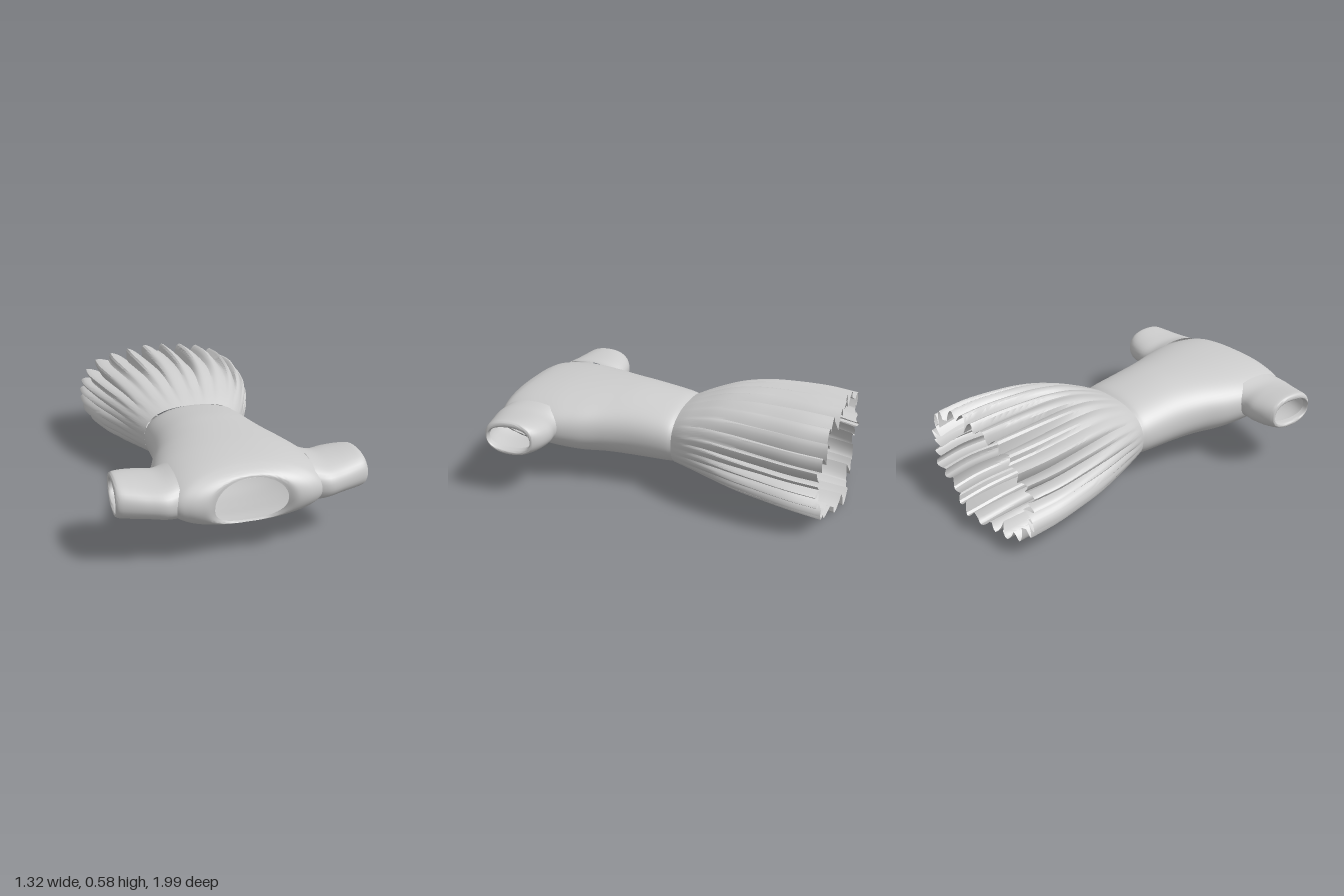
import * as THREE from 'three';
import { toCreasedNormals } from 'three/addons/utils/BufferGeometryUtils.js';

const material = new THREE.MeshStandardMaterial({ color: 0xcccccc, side: THREE.DoubleSide });

// Smooth (Catmull-Rom) blend of a table of section rows, t in 0..1
function sampleRows(rows, t) {
  const f = t * (rows.length - 1);
  const i = Math.min(Math.floor(f), rows.length - 2);
  const u = f - i;
  const row = k => rows[Math.max(0, Math.min(rows.length - 1, k))];
  return rows[0].map((_, c) => {
    const [a, b, d, e] = [row(i - 1)[c], row(i)[c], row(i + 1)[c], row(i + 2)[c]];
    return b + 0.5 * u * (d - a + u * (2 * a - 5 * b + 4 * d - e + u * (3 * (b - d) + e - a)));
  });
}

// Rounded section: unit point at an angle, squarer as n grows
function section(angle, n) {
  const c = Math.cos(angle), s = Math.sin(angle);
  const r = (Math.abs(c) ** n + Math.abs(s) ** n) ** (-1 / n);
  return [c * r, s * r];
}

// Open tube through rings of points; skip(point) leaves a hole
function loft(name, steps, segs, pointAt, crease, skip = () => false) {
  const pos = [], index = [];
  for (let i = 0; i <= steps; i++) {
    for (let j = 0; j < segs; j++) pos.push(...pointAt(i / steps, j / segs));
  }
  for (let i = 0; i < steps; i++) {
    for (let j = 0; j < segs; j++) {
      const k = (j + 1) % segs;
      const a = i * segs + j, b = a + segs, c = (i + 1) * segs + k, d = i * segs + k;
      const mid = [0, 1, 2].map(m => (pos[a * 3 + m] + pos[c * 3 + m]) / 2);
      if (!skip(mid)) index.push(a, b, c, a, c, d);
    }
  }
  const geometry = new THREE.BufferGeometry();
  geometry.setAttribute('position', new THREE.Float32BufferAttribute(pos, 3));
  geometry.setIndex(index);
  const mesh = new THREE.Mesh(toCreasedNormals(geometry, crease), material);
  mesh.name = name;
  return mesh;
}

// Bodice sections from neckline to waist: z, half width, top, bottom, forward bulge at the shoulders
const bodiceRows = [
  [0.92, 0.19, 0.47, 0.22, 0.05],
  [0.925, 0.24, 0.485, 0.215, 0.065],
  [0.90, 0.32, 0.505, 0.21, 0.08],
  [0.86, 0.39, 0.52, 0.205, 0.08],
  [0.78, 0.43, 0.532, 0.195, 0.04],
  [0.65, 0.43, 0.54, 0.17, 0],
  [0.50, 0.395, 0.54, 0.148, 0],
  [0.35, 0.345, 0.535, 0.145, 0],
  [0.20, 0.315, 0.525, 0.14, 0],
  [0.00, 0.30, 0.495, 0.14, 0],
  [-0.06, 0.29, 0.475, 0.145, 0],
];

function makeBodice() {
  const point = (t, s) => {
    const [z, w, top, bottom, bulge] = sampleRows(bodiceRows, t);
    const a = s * Math.PI * 2;
    const [x, y] = section(a, 2.2);
    const tilt = 0.025 * Math.sin(a) * Math.max(0, 1 - t * 4);
    return [x * w, (top + bottom) / 2 + y * (top - bottom) / 2, z + bulge * Math.cos(a) ** 2 + tilt];
  };
  // armholes stay open into the sleeves
  const armhole = ([x, y, z]) =>
    Math.abs(x) > 0.34 && ((z - 0.755) / 0.165) ** 2 + ((y - 0.375) / 0.088) ** 2 < 1;
  return loft('bodice', 60, 80, point, 1.0, armhole);
}

// Sleeve sections going outward: x, back z, front z, top, bottom
const sleeveRows = [
  [0.35, 0.56, 0.95, 0.485, 0.25],
  [0.42, 0.58, 0.965, 0.467, 0.265],
  [0.50, 0.565, 0.945, 0.468, 0.272],
  [0.58, 0.575, 0.92, 0.475, 0.275],
  [0.635, 0.60, 0.90, 0.478, 0.28],
  [0.65, 0.615, 0.885, 0.465, 0.29],
  [0.645, 0.625, 0.88, 0.445, 0.305],
  [0.61, 0.625, 0.88, 0.44, 0.31],
];

function makeSleeve(name) {
  return loft(name, 28, 40, (t, s) => {
    const [x, back, front, top, bottom] = sampleRows(sleeveRows, t);
    const a = s * Math.PI * 2;
    const [u, v] = section(a, 2.3);
    // cuff is cut slightly oblique
    const slant = 0.014 * Math.cos(a) * Math.max(0, t * 2 - 1);
    return [x + slant, (top + bottom) / 2 + v * (top - bottom) / 2, (back + front) / 2 + u * (front - back) / 2];
  }, 0.9);
}

// Skirt sections from waist to hem: z, half width, top, bottom, pleat depth
const skirtRows = [
  [-0.06, 0.29, 0.475, 0.145, 0],
  [-0.15, 0.345, 0.515, 0.14, 0.004],
  [-0.30, 0.415, 0.567, 0.117, 0.016],
  [-0.45, 0.467, 0.592, 0.09, 0.035],
  [-0.60, 0.50, 0.597, 0.07, 0.055],
  [-0.78, 0.525, 0.593, 0.045, 0.075],
  [-0.94, 0.515, 0.58, 0.015, 0.09],
];

function makeSkirt() {
  const pleats = 28, perPleat = 8;
  return loft('pleatedSkirt', 26, pleats * perPleat, (t, s) => {
    const [z, w, top, bottom, depth] = sampleRows(skirtRows, t);
    const h = (top - bottom) / 2;
    const k = Math.floor(s * pleats + 1e-6), p = s * pleats - k;
    // asymmetric pleat: slow rise, steep fold back; each with its own depth
    const fold = p < 0.7 ? 1 - Math.sin(p / 0.7 * Math.PI / 2) : (p - 0.7) / 0.3;
    const vary = 0.75 + 0.25 * Math.sin(k * 2.4 + p * 0.6);
    const inward = depth * fold * vary;
    const a = s * Math.PI * 2 - inward * 0.45;
    const [x, y] = section(a, 2.5);
    const nx = Math.cos(a) / w, ny = Math.sin(a) / h, len = Math.hypot(nx, ny);
    // hem hangs longer under the middle
    const tail = 0.05 * Math.max(0, -Math.sin(a)) ** 8 * t ** 6;
    const uneven = 0.012 * Math.sin(k * 1.7) * t ** 8;
    return [x * w - nx / len * inward, (top + bottom) / 2 + y * h - ny / len * inward, z - tail + uneven];
  }, 0.6);
}

export function createModel() {
  const dress = new THREE.Group();
  dress.name = 'dress';
  const rightSleeve = makeSleeve('rightSleeve');
  rightSleeve.scale.x = -1;
  dress.add(makeBodice(), makeSkirt(), makeSleeve('leftSleeve'), rightSleeve);
  return dress;
}
